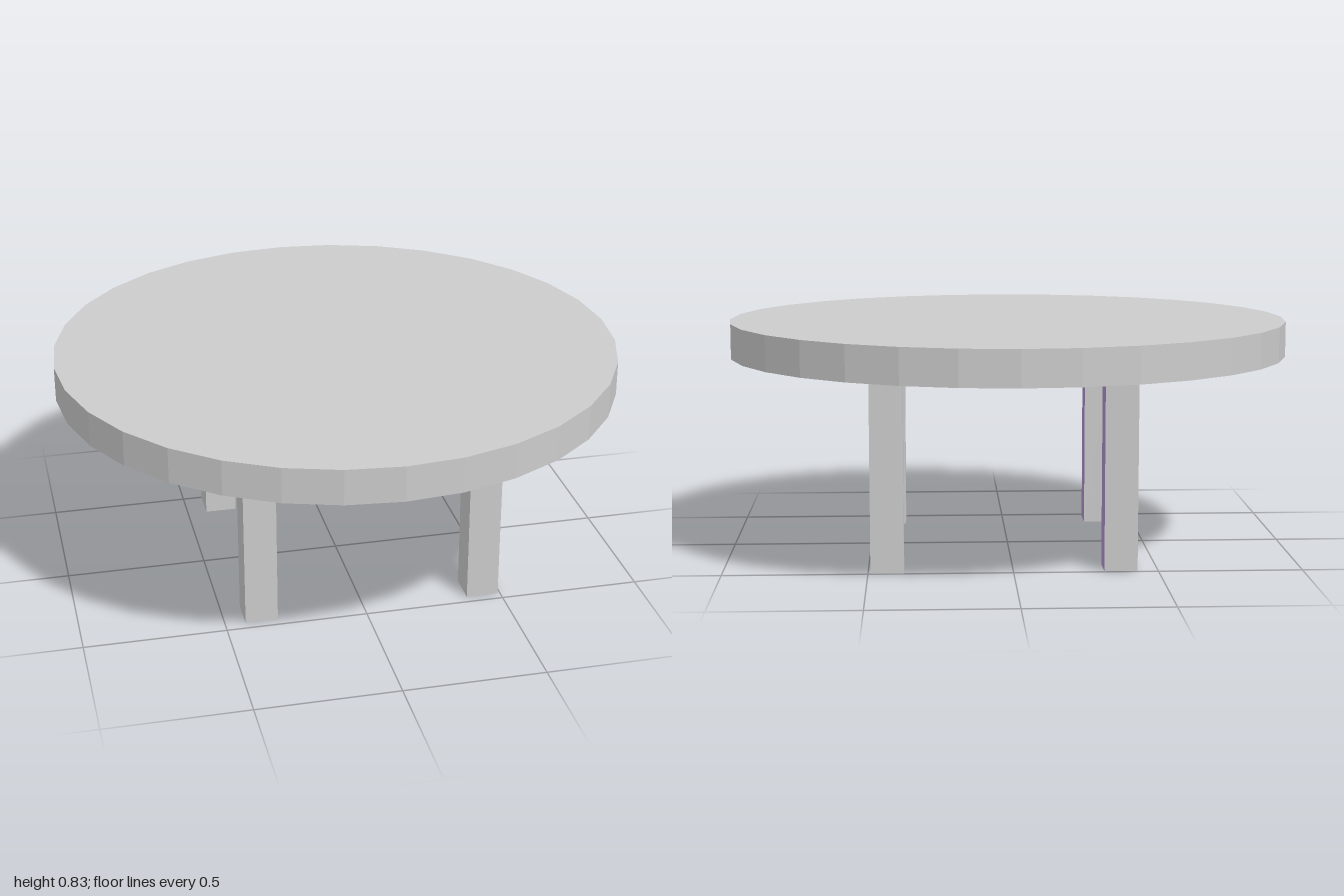
import * as THREE from 'three';

const TOP_Y = 0.83, UNDERSIDE_Y = 0.706, LEG = 0.115;

export function createModel() {
  const table = new THREE.Group();
  table.name = 'roundTable';
  const grey = new THREE.MeshStandardMaterial({ color: 0xcccccc, flatShading: true });
  const violet = new THREE.MeshStandardMaterial({ color: 0xb08fcf, flatShading: true });

  // Faceted round top
  const thickness = TOP_Y - UNDERSIDE_Y;
  const top = new THREE.Mesh(new THREE.CylinderGeometry(1, 1, thickness, 32), grey);
  top.name = 'tableTop';
  top.position.y = UNDERSIDE_Y + thickness / 2;
  table.add(top);

  // Four square legs, tinted on their +x face only
  const legGeometry = new THREE.BoxGeometry(LEG, UNDERSIDE_Y, LEG);
  const legMaterials = [violet, grey, grey, grey, grey, grey];
  for (const [x, side] of [[0.434, 'Left'], [-0.371, 'Right']]) {
    for (const [z, end] of [[0.409, 'front'], [-0.434, 'back']]) {
      const leg = new THREE.Mesh(legGeometry, legMaterials);
      leg.name = `${end}${side}Leg`;
      leg.position.set(x, UNDERSIDE_Y / 2, z);
      table.add(leg);
    }
  }
  return table;
}
